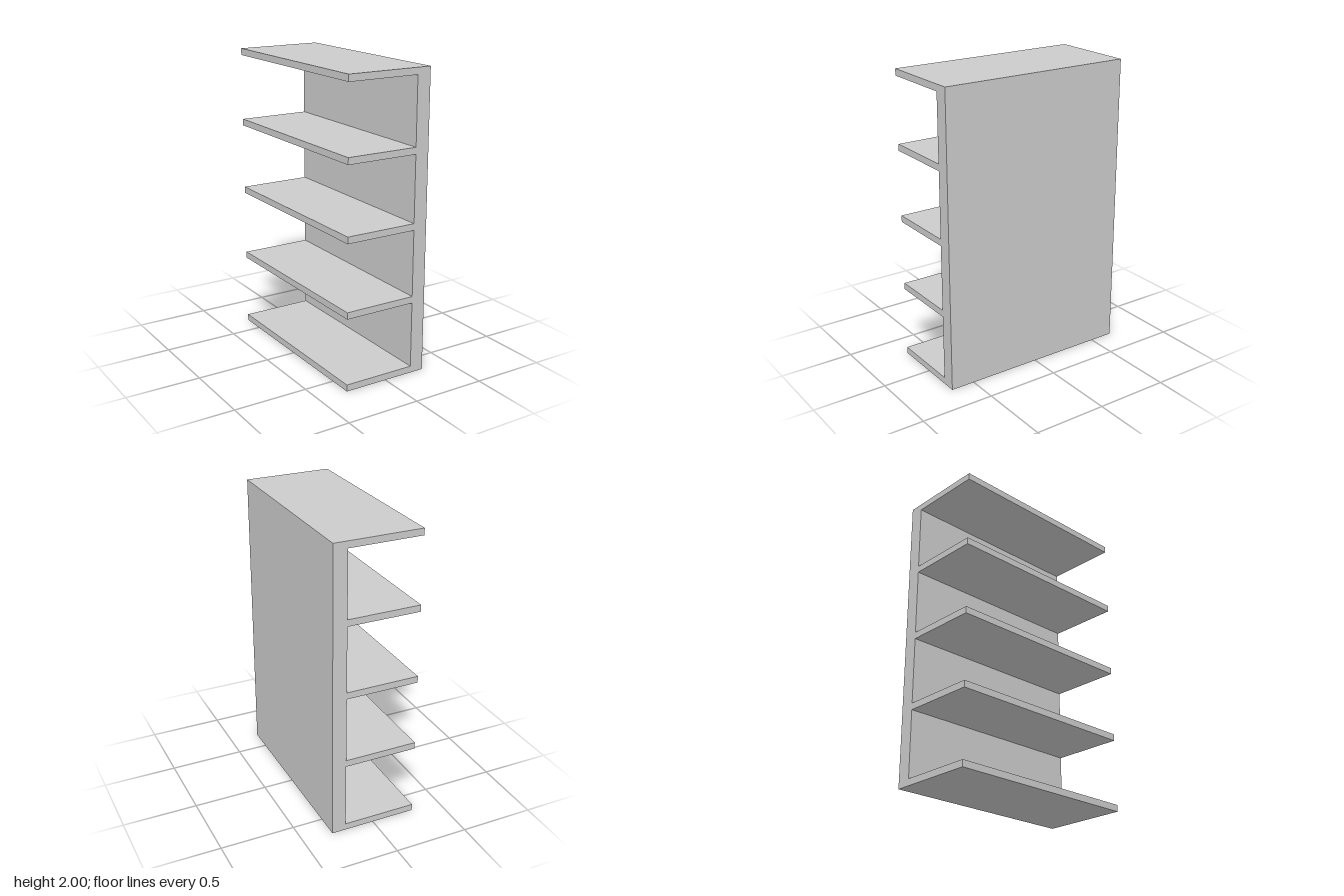
import * as THREE from 'three';

const HEIGHT = 2;
const DEPTH = 1.33;
const OPEN_X = -0.295; // free edge of the shelves
const PANEL_X = 0.2; // inner face of the upright panel
const BACK_X = 0.295; // outer face of the upright panel
const SHELVES = 5;
const BOARD = 0.045;

export function createModel() {
  const group = new THREE.Group();
  group.name = 'shelfRack';

  // Comb-shaped side profile: upright panel with evenly spaced shelves
  const profile = new THREE.Shape();
  profile.moveTo(OPEN_X, 0);
  profile.lineTo(BACK_X, 0);
  profile.lineTo(BACK_X, HEIGHT);
  profile.lineTo(OPEN_X, HEIGHT);
  const spacing = (HEIGHT - BOARD) / (SHELVES - 1);
  for (let i = SHELVES - 1; i > 0; i--) {
    const underside = i * spacing;
    const nextTop = (i - 1) * spacing + BOARD;
    profile.lineTo(OPEN_X, underside);
    profile.lineTo(PANEL_X, underside);
    profile.lineTo(PANEL_X, nextTop);
    profile.lineTo(OPEN_X, nextTop);
  }
  profile.closePath();

  // Run the profile along z, centred
  const geometry = new THREE.ExtrudeGeometry(profile, { depth: DEPTH, bevelEnabled: false });
  geometry.translate(0, 0, -DEPTH / 2);

  const material = new THREE.MeshStandardMaterial({ color: 0xcccccc });
  const rack = new THREE.Mesh(geometry, material);
  rack.name = 'panelWithShelves';
  group.add(rack);
  return group;
}
